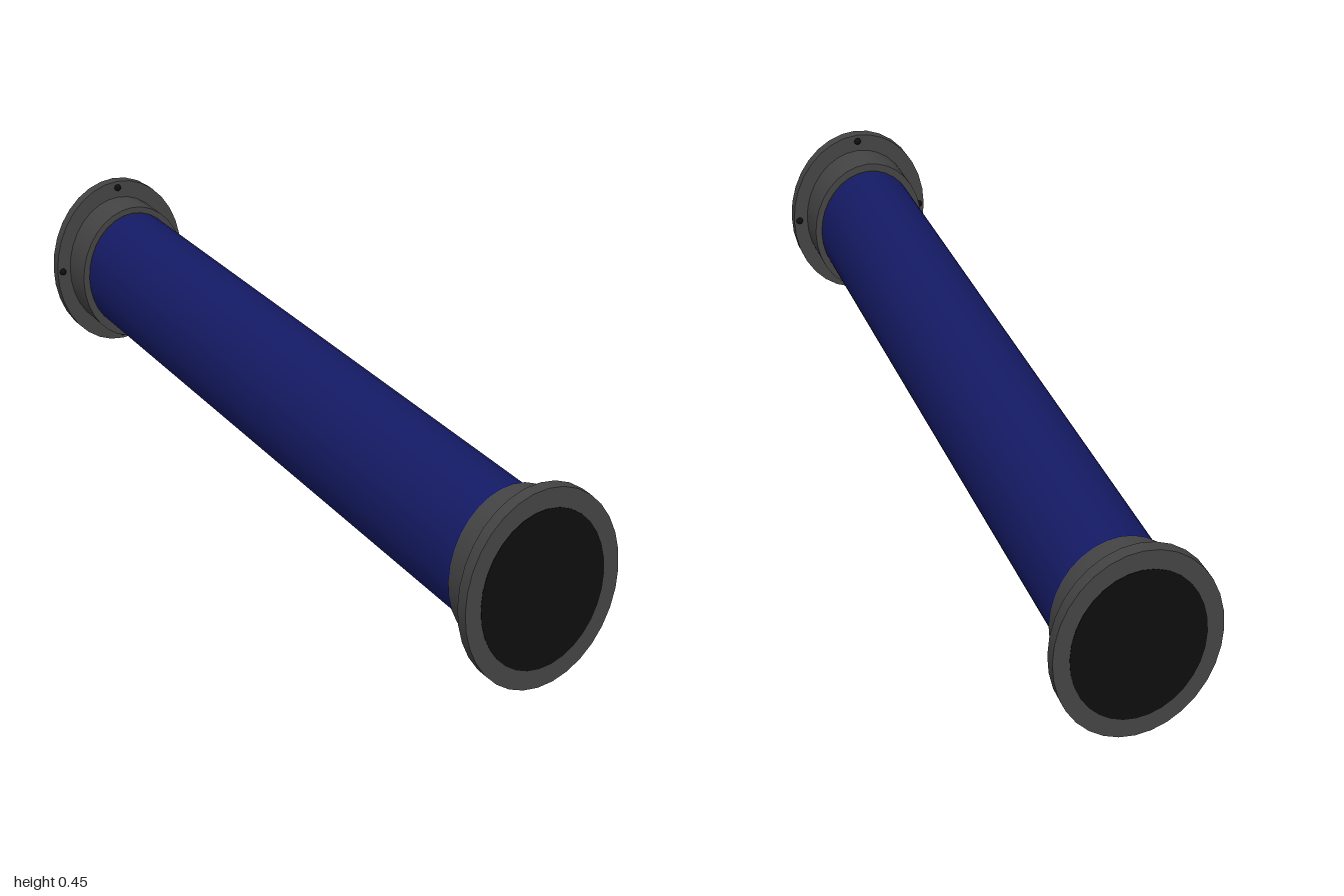
import * as THREE from 'three';

const RATIO = 0.222 / 0.178; // height of every oval section relative to its width

export function createModel() {
  const root = new THREE.Group();
  const navy = new THREE.MeshStandardMaterial({ color: 0x151b66 });
  const grey = new THREE.MeshStandardMaterial({ color: 0x444444 });
  const black = new THREE.MeshStandardMaterial({ color: 0x0d0d0d });

  // Oval prism along z, between z0 and z1
  function oval(parent, name, rx, z0, z1, material) {
    const geometry = new THREE.CylinderGeometry(rx, rx, z1 - z0, 32);
    geometry.rotateX(Math.PI / 2).scale(1, RATIO, 1).translate(0, 0, (z0 + z1) / 2);
    const mesh = new THREE.Mesh(geometry, material);
    mesh.name = name;
    parent.add(mesh);
  }

  // Main tube
  const tube = new THREE.Group();
  tube.name = 'tube';
  tube.position.y = 0.2265;
  oval(tube, 'tubeBody', 0.127, -0.97, 0.97, navy);
  root.add(tube);

  // End fitting, modelled facing +z and turned round for the back
  function endFitting(name, y, turn) {
    const end = new THREE.Group();
    end.name = name;
    oval(end, 'collar', 0.143, 0.882, 0.975, grey);
    oval(end, 'flange', 0.178, 0.971, 0.999, grey);
    oval(end, 'endCap', 0.143, 0.98, 1, black);

    // Four bolts on the inner face of the flange
    for (let i = 0; i < 4; i++) {
      const a = (i * Math.PI) / 2;
      const bolt = new THREE.Mesh(new THREE.SphereGeometry(0.009, 12, 8), black);
      bolt.name = 'bolt';
      bolt.position.set(Math.sin(a) * 0.164, Math.cos(a) * 0.164 * RATIO, 0.971);
      end.add(bolt);
    }
    end.position.y = y;
    end.rotation.y = turn;
    root.add(end);
  }
  endFitting('frontEnd', 0.2265, 0);
  endFitting('backEnd', 0.222, Math.PI);

  return root;
}
